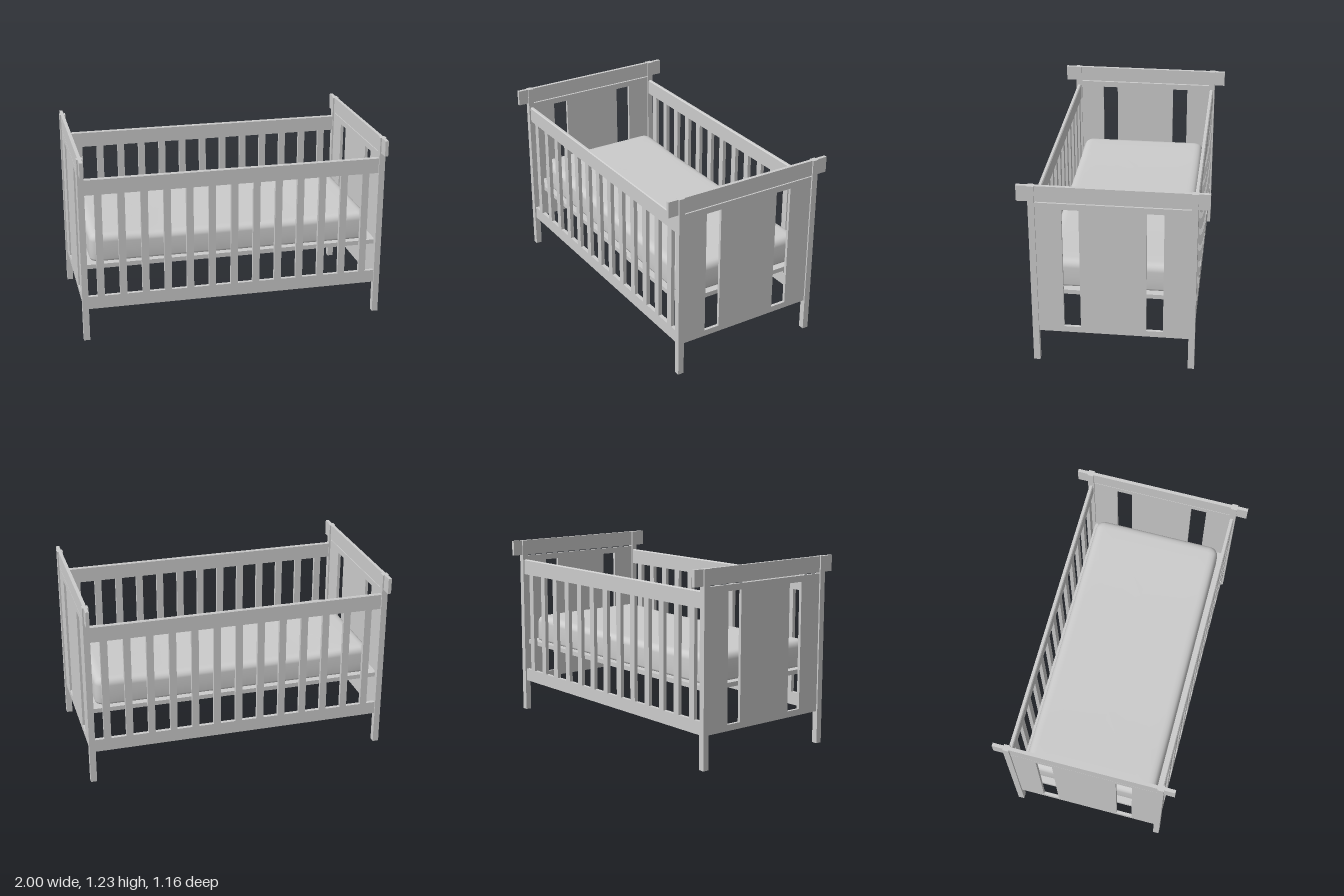
import * as THREE from 'three';

const material = new THREE.MeshStandardMaterial({ color: 0xcccccc });

function addMesh(parent, name, geometry, x = 0, y = 0, z = 0) {
  const mesh = new THREE.Mesh(geometry, material);
  mesh.name = name;
  mesh.position.set(x, y, z);
  parent.add(mesh);
  return mesh;
}

// Box given by its centre in x and z, and its bottom and top heights
function addBox(parent, name, w, d, y0, y1, x = 0, z = 0) {
  return addMesh(parent, name, new THREE.BoxGeometry(w, y1 - y0, d), x, (y0 + y1) / 2, z);
}

function rectPath(path, x0, y0, x1, y1) {
  path.moveTo(x0, y0);
  path.lineTo(x1, y0);
  path.lineTo(x1, y1);
  path.lineTo(x0, y1);
  path.closePath();
  return path;
}

// End panel with two tall slots, 0.02 thick
function endPanelGeometry() {
  const shape = rectPath(new THREE.Shape(), -0.47, 0.215, 0.47, 1.12);
  for (const s of [-1, 1]) {
    const a = s * 0.205, b = s * 0.31;
    shape.holes.push(rectPath(new THREE.Path(), Math.min(a, b), 0.255, Math.max(a, b), 1.08));
  }
  const geometry = new THREE.ExtrudeGeometry(shape, { depth: 0.02, bevelEnabled: false });
  return geometry.translate(0, 0, -0.01).rotateY(Math.PI / 2);
}

// Long top rail with small chamfers on its upper edges
function topRailGeometry() {
  const t = 0.0125, c = 0.006;
  const shape = new THREE.Shape([
    [-t, 0.99], [t, 0.99], [t, 1.095 - c], [t - c, 1.095], [c - t, 1.095], [-t, 1.095 - c],
  ].map(([x, y]) => new THREE.Vector2(x, y)));
  const geometry = new THREE.ExtrudeGeometry(shape, { depth: 1.93, bevelEnabled: false });
  return geometry.translate(0, 0, -0.965).rotateY(Math.PI / 2);
}

// Points of a rounded rectangle in plan, with subdivided straight sides
function roundedRing(hx, hz, r) {
  const arcs = [[1, 1], [-1, 1], [-1, -1], [1, -1]].map(([sx, sz], k) => {
    const arc = [];
    for (let i = 0; i <= 6; i++) {
      const a = (k + i / 6) * Math.PI / 2;
      arc.push([sx * (hx - r) + r * Math.cos(a), sz * (hz - r) + r * Math.sin(a)]);
    }
    return arc;
  });
  const ring = [];
  arcs.forEach((arc, k) => {
    ring.push(...arc);
    const p = arc[6], q = arcs[(k + 1) % 4][0];
    for (let i = 1; i < 16; i++) {
      const t = i / 16;
      ring.push([p[0] + (q[0] - p[0]) * t, p[1] + (q[1] - p[1]) * t]);
    }
  });
  return ring;
}

// Mattress from stacked rings; the top dips a little towards the middle
function mattressGeometry() {
  const hx = 0.93, hz = 0.44;
  const profile = [ // inset, height
    [hz, 0.512], [0.02, 0.512], [0.005, 0.515], [0, 0.528], [0, 0.58], [0, 0.645], [0.004, 0.662],
    [0.012, 0.676], [0.024, 0.685], [0.04, 0.69], [0.06, 0.692], [0.15, 0.692], [0.3, 0.692], [hz, 0.692],
  ];
  const positions = [], index = [];
  let n = 0;
  for (const [inset, y] of profile) {
    const r = Math.min(Math.max(0.06 - inset * 0.8, 0.01), hz - inset);
    const ring = roundedRing(hx - inset, hz - inset, r);
    n = ring.length;
    for (const [x, z] of ring) {
      const dip = 1 - THREE.MathUtils.smoothstep(Math.abs(x), 0.45, 0.85);
      const weight = THREE.MathUtils.smoothstep(y, 0.6, 0.69);
      positions.push(x, y - 0.012 * dip * weight, z);
    }
  }
  for (let j = 0; j < profile.length - 1; j++) {
    for (let i = 0; i < n; i++) {
      const a = j * n + i, b = j * n + (i + 1) % n;
      index.push(a, a + n, b, b, a + n, b + n);
    }
  }
  const geometry = new THREE.BufferGeometry();
  geometry.setAttribute('position', new THREE.Float32BufferAttribute(positions, 3));
  geometry.setIndex(index);
  geometry.computeVertexNormals();
  return geometry;
}

export function createModel() {
  const crib = new THREE.Group();
  crib.name = 'crib';

  // Two ends: posts, slotted panel and overhanging head rail
  for (const s of [-1, 1]) {
    const end = new THREE.Group();
    end.name = s > 0 ? 'leftEnd' : 'rightEnd';
    for (const t of [-1, 1]) addBox(end, t > 0 ? 'frontPost' : 'backPost', 0.04, 0.04, 0, 1.23, s * 0.98, t * 0.49);
    addMesh(end, 'endPanel', endPanelGeometry(), s * 0.98);
    addBox(end, 'headRail', 0.022, 1.16, 1.127, 1.23, s * 0.98);
    crib.add(end);
  }

  // Two long sides: rails and thirteen slats
  for (const s of [-1, 1]) {
    const side = new THREE.Group();
    side.name = s > 0 ? 'frontSide' : 'backSide';
    addMesh(side, 'topRail', topRailGeometry(), 0, 0, s * 0.488);
    addBox(side, 'bottomRail', 1.93, 0.025, 0.215, 0.3, 0, s * 0.488);
    for (let i = -6; i <= 6; i++) addBox(side, 'slat', 0.046, 0.025, 0.3, 0.99, i * 0.146, s * 0.488);
    crib.add(side);
  }

  // Mattress and the board under it
  addBox(crib, 'mattressBase', 1.94, 0.95, 0.483, 0.512);
  addMesh(crib, 'mattress', mattressGeometry());

  return crib;
}
